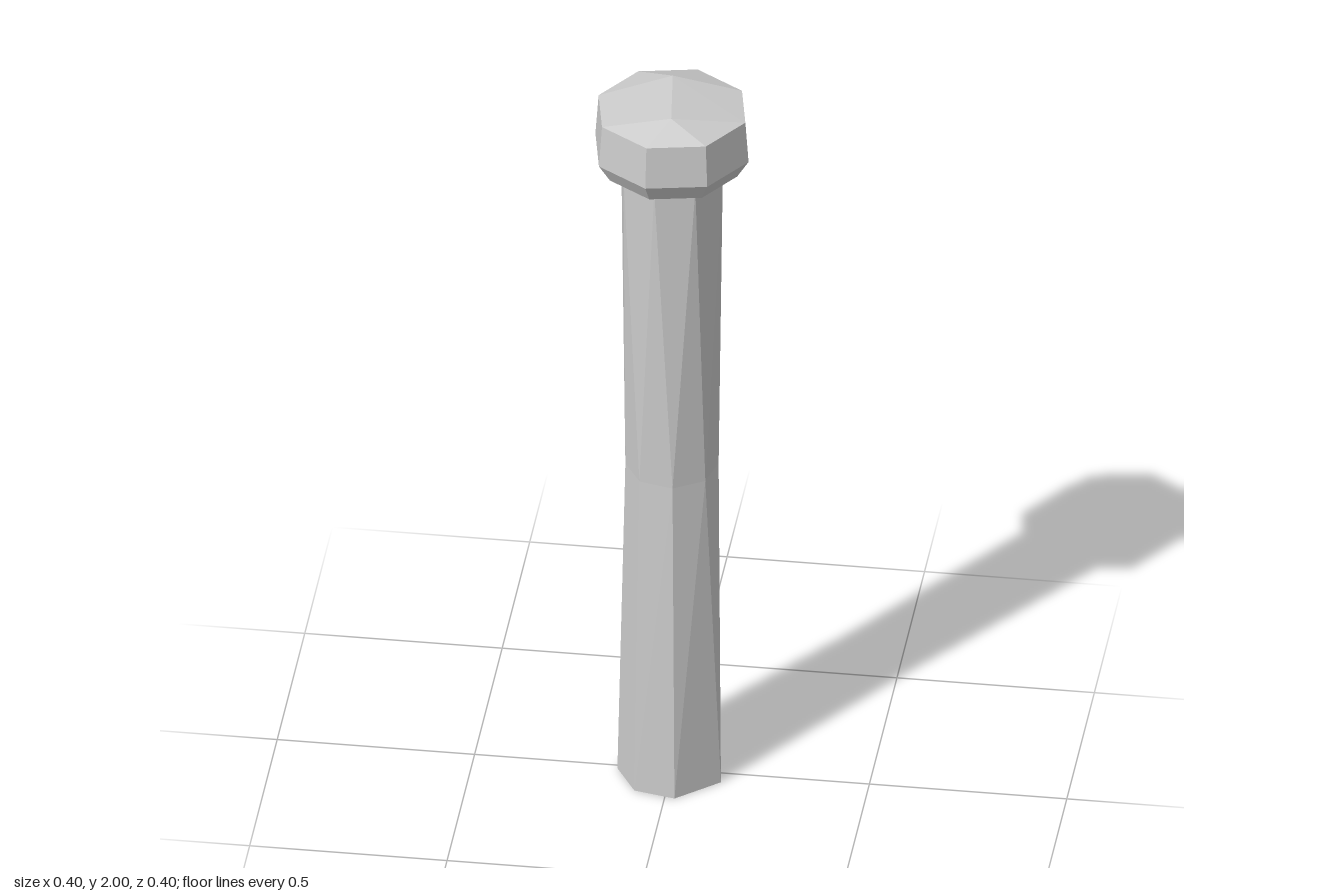
import * as THREE from 'three';

const RAD = Math.PI / 180;

// Ring of corners at height y, angles in degrees measured from +x towards +z
function ring(angles, radius, y) {
  return angles.map(deg => ({
    deg,
    p: new THREE.Vector3(radius * Math.cos(deg * RAD), y, radius * Math.sin(deg * RAD)),
  }));
}

const octagon = start => Array.from({ length: 8 }, (_, i) => start + 45 * i);

// Zip two rings together, always stepping along the ring whose next side comes first
function band(tris, low, high) {
  const at = (r, i) => r[i % r.length];
  const mid = (r, i) => {
    const turn = k => at(r, k).deg + 360 * Math.floor(k / r.length);
    return turn(i) + turn(i + 1);
  };
  let i = 0, j = 0;
  while (i < low.length || j < high.length) {
    const stepLow = j >= high.length || (i < low.length && mid(low, i) <= mid(high, j));
    if (stepLow) {
      tris.push(at(low, i).p, at(high, j).p, at(low, i + 1).p);
      i++;
    } else {
      tris.push(at(low, i).p, at(high, j).p, at(high, j + 1).p);
      j++;
    }
  }
}

// Flat cap, facing up or down
function cap(tris, r, up) {
  for (let i = 1; i < r.length - 1; i++) {
    if (up) tris.push(r[0].p, r[i + 1].p, r[i].p);
    else tris.push(r[0].p, r[i].p, r[i + 1].p);
  }
}

function facetedMesh(name, tris) {
  const geometry = new THREE.BufferGeometry().setFromPoints(tris);
  geometry.computeVertexNormals();
  const mesh = new THREE.Mesh(
    geometry,
    new THREE.MeshStandardMaterial({ color: 0xcccccc, flatShading: true })
  );
  mesh.name = name;
  return mesh;
}

// Shaft: seven-sided foot, narrow octagonal waist, twisted octagonal top
function createShaft() {
  const foot = ring([18.4, 79.5, 125.7, 174, 227, 279, 321.7], 0.137, 0);
  const waist = ring(octagon(36.4), 0.117, 0.91);
  const top = ring(octagon(56.3), 0.135, 1.8);
  const tris = [];
  cap(tris, foot, false);
  band(tris, foot, waist);
  band(tris, waist, top);
  cap(tris, top, true);
  return facetedMesh('shaft', tris);
}

// Head: octagonal knob with a chamfered underside and a short roof ridge
function createHead() {
  const angles = octagon(11.3);
  const under = ring(angles, 0.173, 1.8);
  const belly = ring(angles, 0.2035, 1.85);
  const rim = ring(angles, 0.195, 1.965);
  const tris = [];
  cap(tris, under, false);
  band(tris, under, belly);
  band(tris, belly, rim);

  // Each ridge end fans out to four rim corners, the two fans meet along the ridge
  const ridge = [new THREE.Vector3(0.012, 2, 0.1), new THREE.Vector3(-0.012, 2, -0.1)];
  ridge.forEach((end, side) => {
    const other = ridge[1 - side];
    const corner = k => rim[(4 * side + k) % 8].p;
    for (let k = 0; k < 3; k++) tris.push(end, corner(k + 1), corner(k));
    tris.push(end, corner(4), corner(3), end, other, corner(4));
  });
  return facetedMesh('head', tris);
}

export function createModel() {
  const model = new THREE.Group();
  model.name = 'peg';
  model.add(createShaft(), createHead());
  return model;
}
